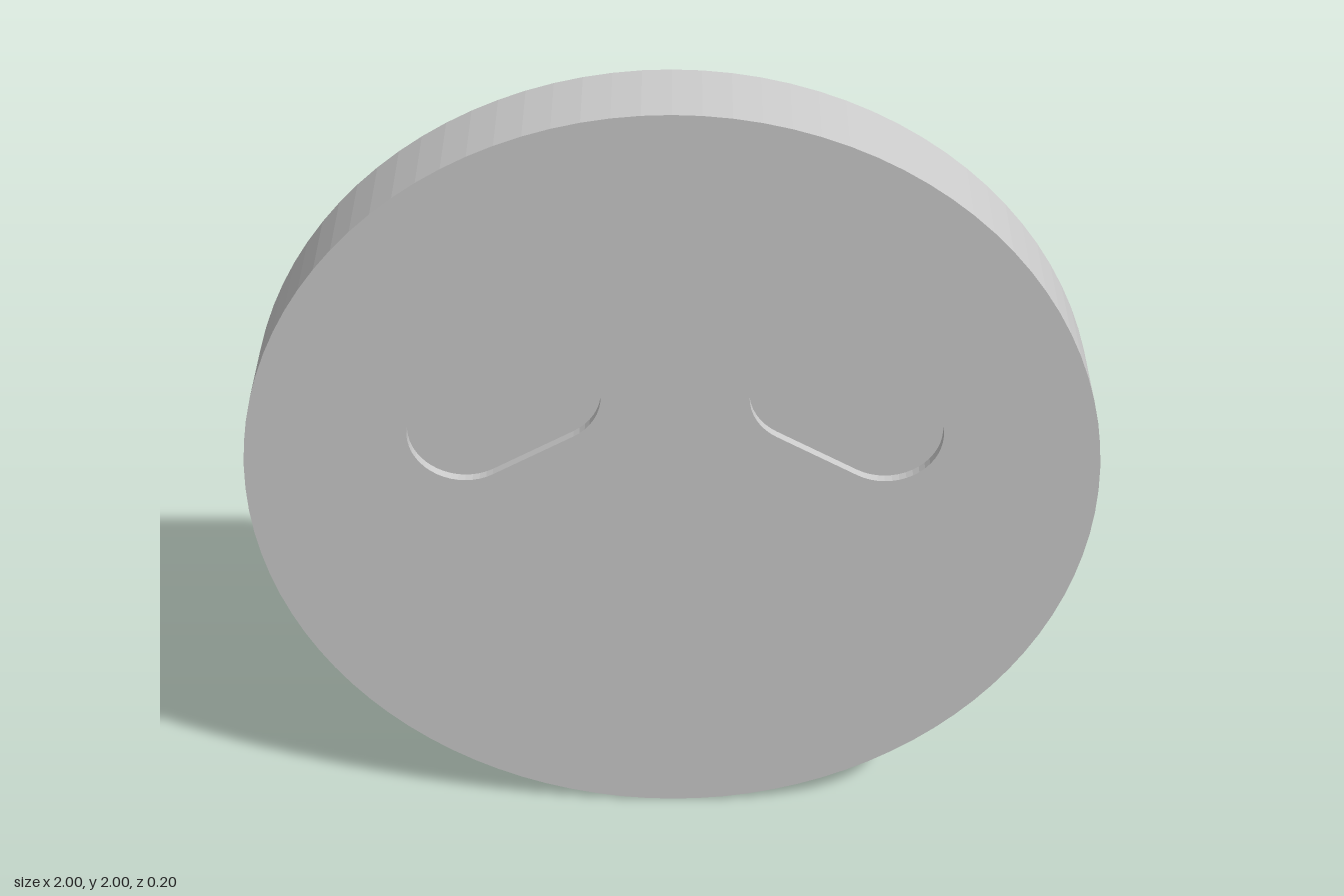
import * as THREE from 'three';

const HALF = 0.1;            // half thickness of the disc
const FLOOR = HALF - 0.022;  // z of the recess floors
const material = new THREE.MeshStandardMaterial({ color: 0xcccccc, flatShading: true });

// Closed counter-clockwise outline of a circle
function circlePoints(radius, segments) {
  return Array.from({ length: segments }, (_, i) => {
    const a = (i / segments) * Math.PI * 2;
    return new THREE.Vector2(radius * Math.cos(a), 1 + radius * Math.sin(a));
  });
}

// Closed counter-clockwise outline of a tilted slot with round ends
function slotPoints(cx, cy, tilt, halfLength, radius, segments = 24) {
  const points = [];
  for (const end of [0, 1]) {
    const ex = end ? -halfLength : halfLength;
    for (let i = 0; i <= segments; i++) {
      const a = -Math.PI / 2 + end * Math.PI + (i / segments) * Math.PI;
      const p = new THREE.Vector2(ex + radius * Math.cos(a), radius * Math.sin(a));
      points.push(p.rotateAround(new THREE.Vector2(), tilt).add(new THREE.Vector2(cx, cy)));
    }
  }
  return points;
}

// Wall along an outline from z0 to z1; faces outward when z0 < z1, inward otherwise
function wall(points, z0, z1) {
  const positions = [];
  points.forEach((p, i) => {
    const q = points[(i + 1) % points.length];
    positions.push(p.x, p.y, z0, q.x, q.y, z0, q.x, q.y, z1);
    positions.push(p.x, p.y, z0, q.x, q.y, z1, p.x, p.y, z1);
  });
  const geometry = new THREE.BufferGeometry();
  geometry.setAttribute('position', new THREE.Float32BufferAttribute(positions, 3));
  geometry.computeVertexNormals();
  return geometry;
}

// Flat face bounded by an outline, with optional holes
function face(points, z, holes = []) {
  const shape = new THREE.Shape(points);
  shape.holes = holes.map((h) => new THREE.Path(h));
  return new THREE.ShapeGeometry(shape).translate(0, 0, z);
}

function addMesh(parent, name, geometry) {
  const mesh = new THREE.Mesh(geometry, material);
  mesh.name = name;
  parent.add(mesh);
  return mesh;
}

export function createModel() {
  const model = new THREE.Group();
  model.name = 'slottedDisc';

  const outline = circlePoints(1, 96);
  const slots = {
    rightSlot: slotPoints(-0.388, 1.21, Math.PI / 6, 0.11, 0.13),
    leftSlot: slotPoints(0.403, 1.21, -Math.PI / 6, 0.11, 0.13),
  };

  // Disc body
  addMesh(model, 'frontFace', face(outline, HALF, Object.values(slots)));
  addMesh(model, 'rim', wall(outline, -HALF, HALF));
  const back = addMesh(model, 'backFace', face(outline, HALF));
  back.rotation.y = Math.PI;

  // Shallow recesses in the front
  for (const [name, points] of Object.entries(slots)) {
    const slot = new THREE.Group();
    slot.name = name;
    addMesh(slot, name + 'Floor', face(points, FLOOR));
    addMesh(slot, name + 'Wall', wall(points, HALF, FLOOR));
    model.add(slot);
  }
  return model;
}
